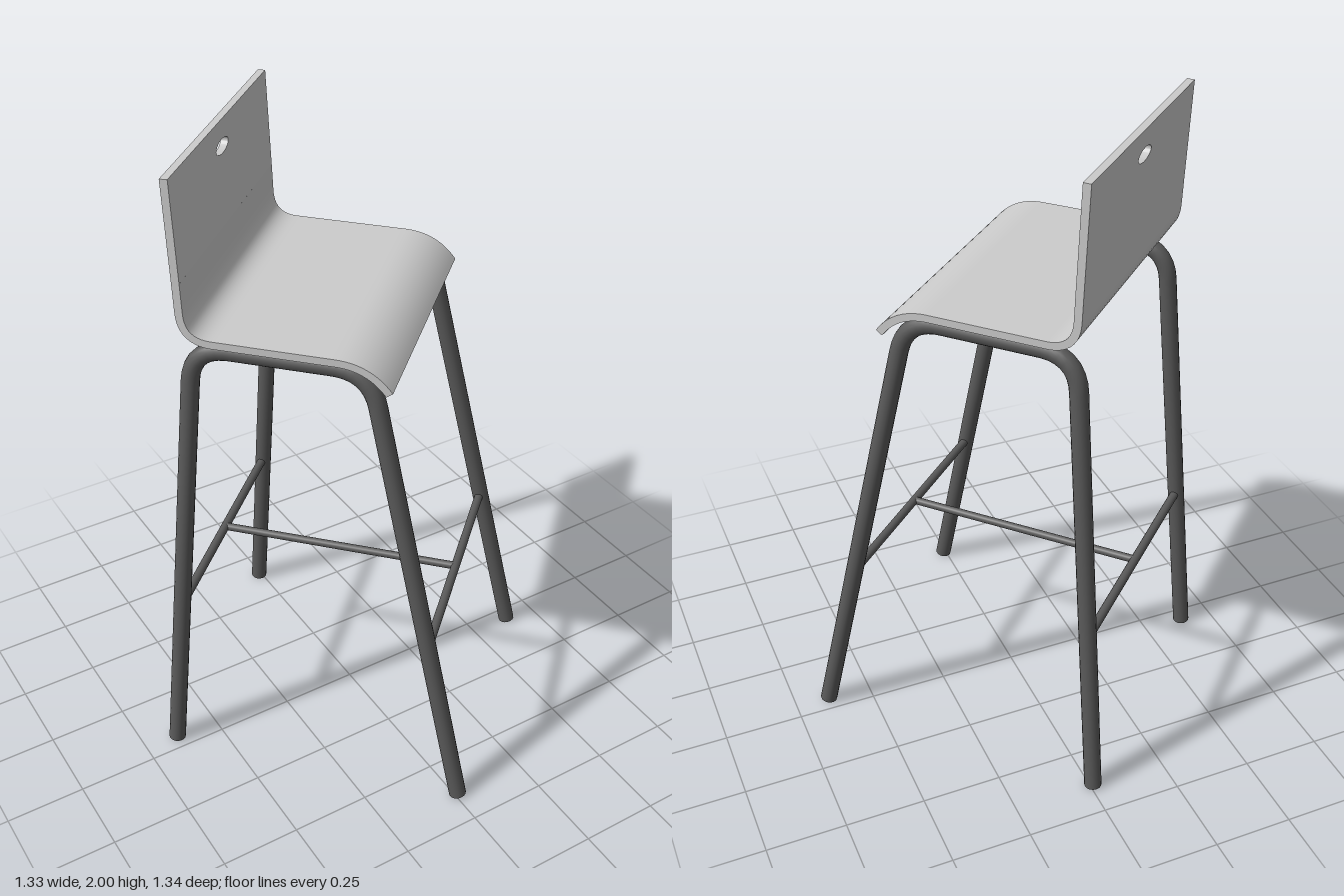
import * as THREE from 'three';
import { toCreasedNormals } from 'three/addons/utils/BufferGeometryUtils.js';

const seatMat = new THREE.MeshStandardMaterial({ color: 0xcccccc });
const frameMat = new THREE.MeshStandardMaterial({ color: 0x5a5a5a });

const WIDTH = 0.805, THICK = 0.023;
const V2 = (x, y) => new THREE.Vector2(x, y);
const V3 = (x, y, z) => new THREE.Vector3(x, y, z);

function addMesh(parent, name, geometry, material) {
  const mesh = new THREE.Mesh(geometry, material);
  mesh.name = name;
  parent.add(mesh);
  return mesh;
}

// Seat shell: side profile (z, y) offset to both sides, extruded across the width
function seatGeometry(joint) {
  const path = new THREE.CurvePath();
  path.add(new THREE.LineCurve(joint, V2(-0.369, 1.61)));
  path.add(new THREE.QuadraticBezierCurve(V2(-0.369, 1.61), V2(-0.366, 1.523), V2(-0.28, 1.523)));
  path.add(new THREE.LineCurve(V2(-0.28, 1.523), V2(0.07, 1.523)));
  path.add(new THREE.QuadraticBezierCurve(V2(0.07, 1.523), V2(0.165, 1.523), V2(0.221, 1.446)));
  const upper = [], lower = [];
  for (let i = 0; i <= 60; i++) {
    const p = path.getPointAt(i / 60), t = path.getTangentAt(i / 60);
    const n = V2(-t.y, t.x).multiplyScalar(THICK / 2);
    upper.push(p.clone().add(n));
    lower.unshift(p.clone().sub(n));
  }
  const g = new THREE.ExtrudeGeometry(new THREE.Shape([...upper, ...lower]), { depth: WIDTH, bevelEnabled: false });
  g.translate(0, 0, -WIDTH / 2).rotateY(-Math.PI / 2);
  return toCreasedNormals(g, 0.6);
}

// Upper backrest panel with an oval grip hole
function backGeometry(height) {
  const w = WIDTH / 2;
  const shape = new THREE.Shape([V2(-w, 0), V2(w, 0), V2(w, height), V2(-w, height)]);
  const hole = new THREE.Path();
  hole.absellipse(0, height - 0.075, 0.05, 0.02, 0, Math.PI * 2, true);
  shape.holes.push(hole);
  const g = new THREE.ExtrudeGeometry(shape, { depth: THICK, bevelEnabled: false, curveSegments: 32 });
  g.translate(0, 0, -THICK / 2);
  return toCreasedNormals(g, 0.6);
}

// Path through points with rounded inner corners
function roundedPath(points, bend) {
  const path = new THREE.CurvePath();
  let start = points[0];
  for (let i = 1; i < points.length - 1; i++) {
    const c = points[i];
    const a = c.clone().add(points[i - 1].clone().sub(c).setLength(bend));
    const b = c.clone().add(points[i + 1].clone().sub(c).setLength(bend));
    path.add(new THREE.LineCurve3(start, a));
    path.add(new THREE.QuadraticBezierCurve3(a, c, b));
    start = b;
  }
  path.add(new THREE.LineCurve3(start, points[points.length - 1]));
  return path;
}

// Tube with closed ends
function addTube(parent, name, path, radius, segments) {
  const tube = new THREE.Group();
  tube.name = name;
  addMesh(tube, name + 'Tube', new THREE.TubeGeometry(path, segments, radius, 16), frameMat);
  for (const [u, sign] of [[0, -1], [1, 1]]) {
    const cap = addMesh(tube, name + 'Cap', new THREE.CircleGeometry(radius, 16), frameMat);
    cap.position.copy(path.getPointAt(u));
    cap.quaternion.setFromUnitVectors(V3(0, 0, 1), path.getTangentAt(u).multiplyScalar(sign));
  }
  parent.add(tube);
}

export function createModel() {
  const stool = new THREE.Group();
  stool.name = 'barStool';

  // Seat and backrest
  const joint = V2(-0.372, 1.7), top = V2(-0.383, 2.0);
  addMesh(stool, 'seat', seatGeometry(joint), seatMat);
  const back = addMesh(stool, 'backrest', backGeometry(joint.distanceTo(top)), seatMat);
  back.position.set(0, joint.y, joint.x);
  back.rotation.x = Math.atan2(top.x - joint.x, top.y - joint.y);

  // Side frames: front leg, rail under the seat and back leg in one bent tube
  for (const [side, s] of [['left', 1], ['right', -1]]) {
    const path = roundedPath([
      V3(s * 0.432, 0.005, 0.474), V3(s * 0.36, 1.485, 0.158),
      V3(s * 0.36, 1.485, -0.355), V3(s * 0.432, 0.003, -0.474),
    ], 0.11);
    addTube(stool, side + 'LegFrame', path, 0.027, 140);
  }

  // Footrest bars and the link between them
  const y = 0.567, front = 0.353, rear = -0.429;
  const bars = [
    ['frontFootrest', V3(-0.404, y, front), V3(0.404, y, front), 0.014],
    ['backStretcher', V3(-0.404, y, rear), V3(0.404, y, rear), 0.014],
    ['middleStretcher', V3(0, y, rear), V3(0, y, front), 0.0125],
  ];
  for (const [name, a, b, r] of bars) addTube(stool, name, new THREE.LineCurve3(a, b), r, 1);

  // The stool stands turned towards its left
  stool.rotation.y = 0.754;
  const model = new THREE.Group();
  model.name = 'model';
  model.add(stool);
  return model;
}
